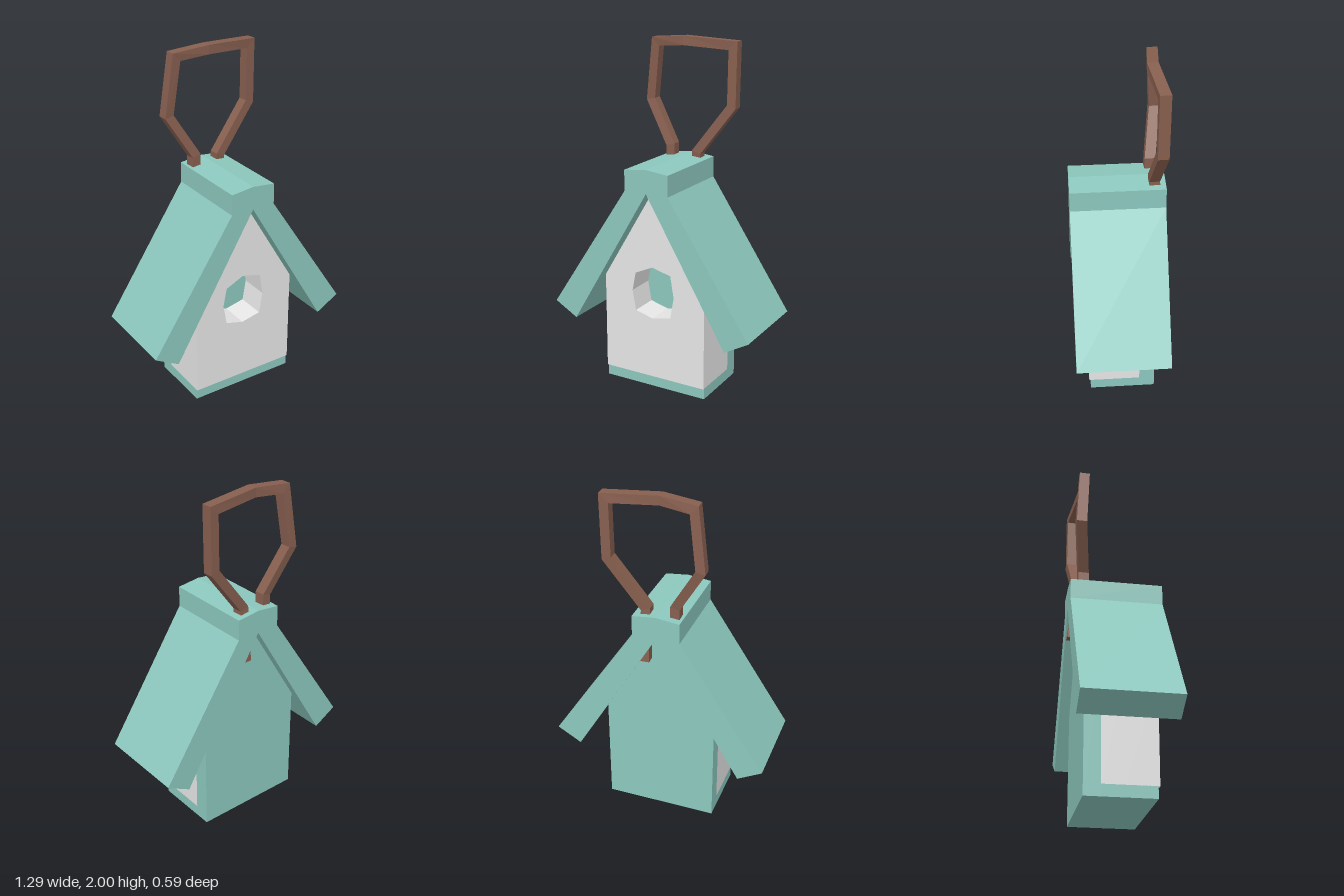
import * as THREE from 'three';

const mat = (name, color) => {
  const m = new THREE.MeshStandardMaterial({ color });
  m.name = name;
  return m;
};

const shapeOf = (pts) => new THREE.Shape(pts.map(([x, y]) => new THREE.Vector2(x, y)));

// Straight extrusion of a shape from z = back to z = front
function slab(name, shape, back, front, material) {
  const geo = new THREE.ExtrudeGeometry(shape, { depth: front - back, bevelEnabled: false });
  geo.translate(0, 0, back);
  const mesh = new THREE.Mesh(geo, material);
  mesh.name = name;
  return mesh;
}

// Square bar along a path, mitred in the xy plane
function barGeometry(path, halfWidth, halfDepth) {
  const dir = (a, b) => new THREE.Vector2(b[0] - a[0], b[1] - a[1]).normalize();
  const rings = path.map((p, i) => {
    const d0 = dir(path[Math.max(i - 1, 0)], path[Math.max(i, 1)]);
    const last = path.length - 1;
    const d1 = dir(path[Math.min(i, last - 1)], path[Math.min(i + 1, last)]);
    const t = d0.clone().add(d1).normalize();
    const w = halfWidth / t.dot(d0);
    const nx = -t.y * w, ny = t.x * w;
    return [[1, 1], [-1, 1], [-1, -1], [1, -1]].map(([s, k]) =>
      [p[0] + s * nx, p[1] + s * ny, p[2] + k * halfDepth]);
  });
  const pos = [];
  const quad = (a, b, c, d) => pos.push(...a, ...b, ...c, ...a, ...c, ...d);
  for (let i = 0; i < rings.length - 1; i++) {
    for (let j = 0; j < 4; j++) {
      const k = (j + 1) % 4;
      quad(rings[i][j], rings[i][k], rings[i + 1][k], rings[i + 1][j]);
    }
  }
  const [a, b, c, d] = rings[0];
  quad(d, c, b, a);
  quad(...rings[rings.length - 1]);
  const geo = new THREE.BufferGeometry();
  geo.setAttribute('position', new THREE.Float32BufferAttribute(pos, 3));
  geo.computeVertexNormals();
  return geo;
}

export function createModel() {
  const teal = mat('teal paint', 0x8cc8be);
  const white = mat('white paint', 0xe6e6e6);
  const brown = mat('brown strap', 0x875f4f);

  const model = new THREE.Group();
  model.name = 'birdhouse';
  const house = new THREE.Group();
  house.name = 'house';
  house.rotation.y = -0.045; // sits slightly askew
  model.add(house);

  // Gabled outline shared by the walls
  const gable = (bottom) => shapeOf([
    [-0.325, bottom], [0.325, bottom], [0.325, 0.65], [0, 1.2], [-0.325, 0.65],
  ]);

  // White body: front block with entrance hole, solid block behind it
  const front = gable(0.065);
  const hole = [
    [-0.12, 0.46], [-0.142, 0.58], [-0.12, 0.69], [-0.01, 0.74],
    [0.108, 0.71], [0.13, 0.58], [0.108, 0.455], [-0.01, 0.43],
  ];
  front.holes.push(new THREE.Path(hole.map(([x, y]) => new THREE.Vector2(x, y))));
  house.add(slab('frontWall', front, 0.01, 0.187, white));
  house.add(slab('sideWalls', gable(0.065), -0.115, 0.01, white));
  house.add(slab('entranceBack', shapeOf(hole), 0.008, 0.014, teal));

  // Back wall and floor
  house.add(slab('backWall', gable(0), -0.205, -0.115, teal));
  const floor = new THREE.Mesh(new THREE.BoxGeometry(0.65, 0.066, 0.293), teal);
  floor.name = 'floor';
  floor.position.set(0, 0.033, 0.0315);
  house.add(floor);

  // Roof with raised ridge cap, mirrored about x = 0
  const half = [[0.49, 0.365], [0.632, 0.445], [0.137, 1.19], [0.137, 1.31]];
  const mirrored = half.map(([x, y]) => [-x, y]).reverse();
  house.add(slab('roof', shapeOf([[0, 1.19], ...half, [0, 1.325], ...mirrored]), -0.265, 0.265, teal));

  // Hanging strap passing through the ridge
  const strap = new THREE.Mesh(barGeometry([
    [-0.085, 1.15, -0.195], [-0.085, 1.375, -0.195], [-0.233, 1.625, -0.235],
    [-0.19, 1.958, -0.215], [0, 1.974, -0.187], [0.294, 1.958, -0.205],
    [0.29, 1.62, -0.205], [0.08, 1.345, -0.197], [0.08, 1.03, -0.225],
  ], 0.026, 0.03), brown);
  strap.name = 'hangingStrap';
  model.add(strap);

  return model;
}
